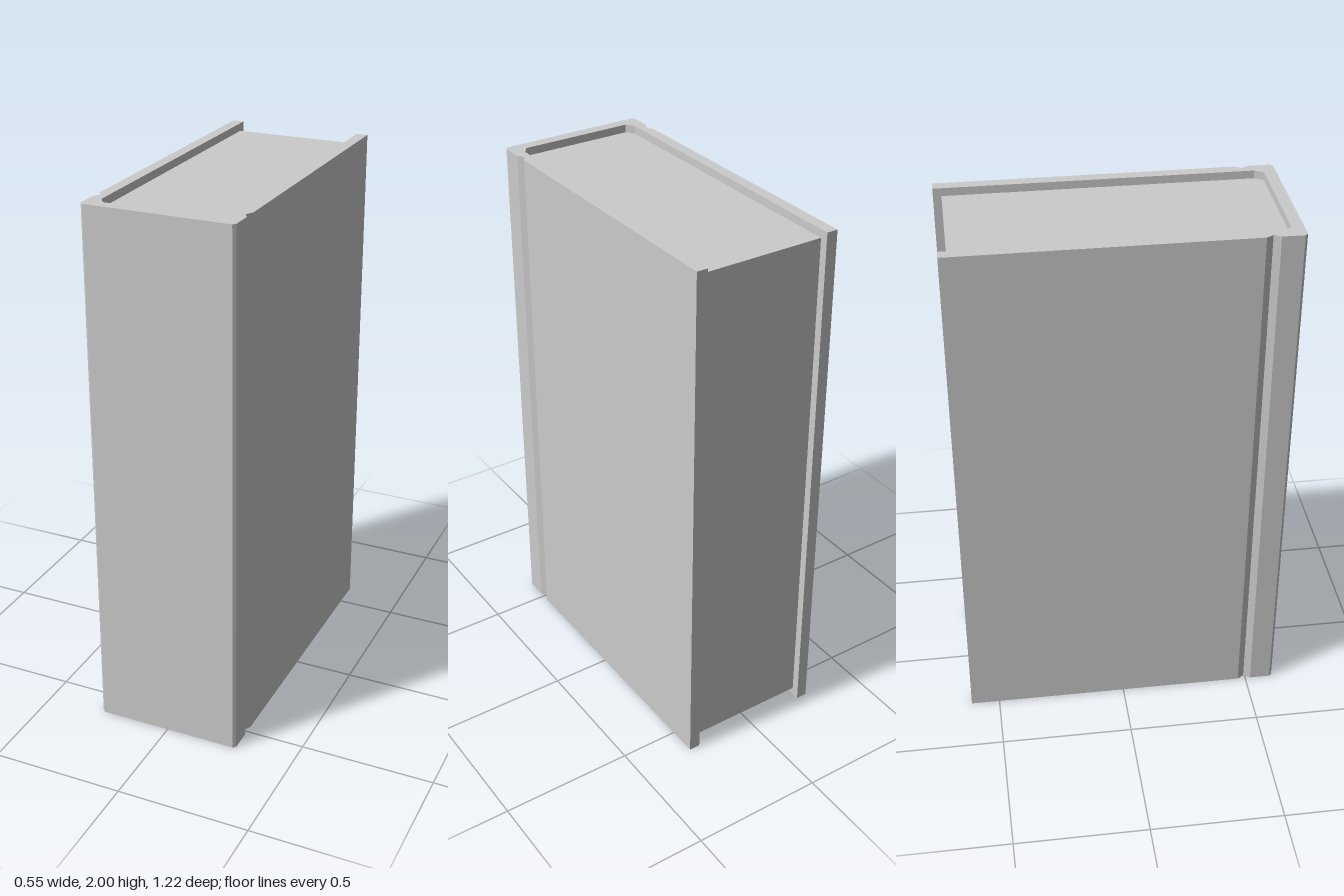
import * as THREE from 'three';

const HEIGHT = 2;
const BACK = -0.61;   // fore-edge of the boards
const INSET = 0.03;   // pages sit this far inside the cover

// Half outlines as [x, z]; each is mirrored to the other side.
const coverOuter = [[0.277, BACK], [0.277, 0.47], [0.262, 0.495], [0.277, 0.52], [0.277, 0.6], [0.267, 0.61]];
const coverInner = [[0.235, BACK], [0.235, 0.535], [0.214, 0.566]];
const pageOutline = [[0.235, BACK + INSET], ...coverInner.slice(1)];

const mirror = (pts) => pts.map(([x, z]) => [-x, z]).reverse();

// Upright prism from a plan outline
function prism(name, plan, bottom, height, material) {
  const shape = new THREE.Shape(plan.map(([x, z]) => new THREE.Vector2(x, -z)));
  const geometry = new THREE.ExtrudeGeometry(shape, { depth: height, bevelEnabled: false });
  geometry.rotateX(-Math.PI / 2);
  geometry.translate(0, bottom, 0);
  const mesh = new THREE.Mesh(geometry, material);
  mesh.name = name;
  return mesh;
}

export function createModel() {
  const material = new THREE.MeshStandardMaterial({ color: 0xcccccc, flatShading: true });
  const book = new THREE.Group();
  book.name = 'book';

  // Cover: two boards joined by the spine, with a hinge groove on each side
  const coverPlan = [
    ...coverOuter, ...mirror(coverOuter),
    ...mirror(coverInner).reverse(), ...[...coverInner].reverse(),
  ];
  book.add(prism('cover', coverPlan, 0, HEIGHT, material));

  // Page block: fills the cover, set back at the top, bottom and fore-edge
  const pagePlan = [...pageOutline, ...mirror(pageOutline)];
  book.add(prism('pages', pagePlan, INSET, HEIGHT - 2 * INSET, material));

  return book;
}
